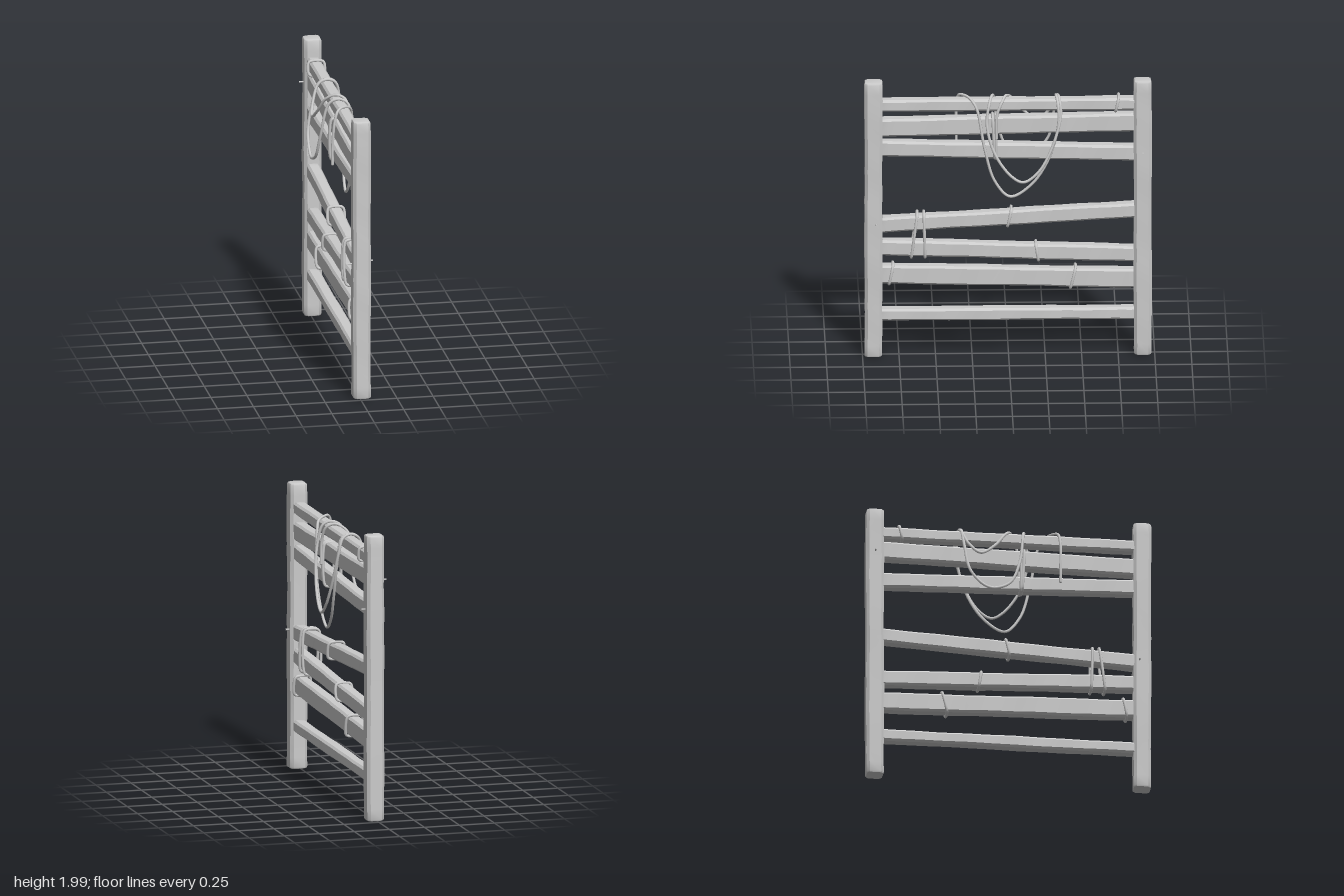
import * as THREE from 'three';
import { toCreasedNormals } from 'three/addons/utils/BufferGeometryUtils.js';

const grey = new THREE.MeshStandardMaterial({ color: 0xcccccc });
const CX = 0.011; // centre line of the fence in x

function add(group, name, geometry) {
  const mesh = new THREE.Mesh(geometry, grey);
  mesh.name = name;
  group.add(mesh);
  return mesh;
}

// Beam along z with chamfered edges, centred on the origin
function beam(w, h, length, chamfer, steps) {
  const b = 0.014, x = w / 2 - b, y = h / 2 - b, c = chamfer;
  const s = new THREE.Shape([
    [x - c, -y], [x, -y + c], [x, y - c], [x - c, y],
    [-x + c, y], [-x, y - c], [-x, -y + c], [-x + c, -y],
  ].map(([px, py]) => new THREE.Vector2(px, py)));
  return new THREE.ExtrudeGeometry(s, {
    depth: length - 2 * b, steps, bevelEnabled: true,
    bevelThickness: b, bevelSize: b, bevelSegments: 2,
  }).translate(0, 0, -length / 2 + b);
}

// Hand-hewn unevenness along the beam, plus a slope from one end to the other
function hew(g, seed, amount, heightAt) {
  const p = g.attributes.position;
  for (let i = 0; i < p.count; i++) {
    const x = p.getX(i), y = p.getY(i), z = p.getZ(i);
    const sx = Math.sign(x), sy = Math.sign(y);
    const wx = Math.sin(z * 7 + seed * 2.1 + sx) + 0.6 * Math.sin(z * 17 + seed + sy);
    const wy = Math.sin(z * 6 + seed * 1.3 + sy * 2) + 0.6 * Math.sin(z * 19 + seed * 3 + sx);
    p.setXYZ(i, x + wx * amount, y + wy * amount + heightAt(z), z);
  }
  return toCreasedNormals(g, 0.6);
}

function rope(points, radius, closed, segments) {
  const curve = new THREE.CatmullRomCurve3(points.map(p => new THREE.Vector3(...p)), closed);
  return new THREE.TubeGeometry(curve, segments, radius, 7, closed);
}

// Closed rope loop around the rails, leaning from (zTop, yTop) to (zBottom, yBottom)
function tie(zTop, yTop, zBottom, yBottom) {
  const zAt = y => THREE.MathUtils.mapLinear(y, yBottom, yTop, zBottom, zTop);
  const a = 0.055, c = 0.014, t = yTop - 0.01, b = yBottom + 0.01;
  const ring = [
    [a - c, t], [a, t - c], [a, b + c], [a - c, b],
    [-a + c, b], [-a, b + c], [-a, t - c], [-a + c, t],
  ];
  return rope(ring.map(([x, y]) => [CX + x, y, zAt(y)]), 0.01, true, 64);
}

export function createModel() {
  const fence = new THREE.Group();
  fence.name = 'ropedFence';

  // Upright posts
  [[0.925, 1], [-0.918, 2]].forEach(([z, seed]) => {
    const g = hew(beam(0.122, 0.122, 1.995, 0.012, 28), seed, 0.0018, () => 0);
    const post = add(fence, z > 0 ? 'frontPost' : 'backPost', g);
    post.rotation.x = -Math.PI / 2;
    post.position.set(CX + 0.001, 1.0, z);
  });

  // Rails: top and bottom height at the front end, then at the back end
  const rails = [
    [1.870, 1.785, 1.870, 1.785],
    [1.730, 1.603, 1.760, 1.630],
    [1.570, 1.460, 1.525, 1.415],
    [1.010, 0.905, 1.105, 1.000],
    [0.850, 0.738, 0.787, 0.680],
    [0.665, 0.532, 0.622, 0.490],
    [0.347, 0.260, 0.345, 0.262],
  ];
  rails.forEach(([t0, b0, t1, b1], i) => {
    const front = (t0 + b0) / 2, back = (t1 + b1) / 2;
    const g = beam(0.086, (t0 - b0 + t1 - b1) / 2, 1.78, 0.006, 30);
    hewAndAdd(g, i, z => THREE.MathUtils.mapLinear(z, 0.865, -0.855, front, back));
  });
  function hewAndAdd(g, i, heightAt) {
    add(fence, 'rail' + (i + 1), hew(g, i + 3, 0.0013, heightAt)).position.x = CX;
  }

  // Rope ties around single rails and pairs of rails
  [
    [-0.755, 1.888, -0.73, 1.772],
    [0.11, 1.755, 0.095, 1.435],
    [0.09, 1.75, 0.085, 1.43],
    [-0.02, 1.075, 0.01, 0.938],
    [0.625, 1.045, 0.668, 0.715],
    [0.58, 1.045, 0.572, 0.715],
    [-0.185, 0.822, -0.205, 0.688],
    [-0.46, 0.65, -0.42, 0.485],
    [0.79, 0.675, 0.82, 0.522],
  ].forEach((t, i) => add(fence, 'ropeTie' + (i + 1), tie(...t)));

  // Long rope draped over the top rail in several loops
  const drape = [
    [-0.08, 1.50, 0.355], [-0.08, 1.62, 0.355], [-0.065, 1.80, 0.355], [-0.04, 1.875, 0.34],
    [0.01, 1.885, 0.29], [0.06, 1.865, 0.25], [0.08, 1.80, 0.215],
    [0.10, 1.53, 0.165], [0.09, 1.29, 0.095], [0.08, 1.175, -0.01],
    [0.09, 1.26, -0.15], [0.105, 1.45, -0.27], [0.10, 1.71, -0.34], [0.07, 1.855, -0.335],
    [0.01, 1.885, -0.325], [-0.05, 1.86, -0.325],
    [-0.10, 1.72, -0.31], [-0.135, 1.53, -0.275], [-0.14, 1.42, -0.18], [-0.14, 1.40, -0.11],
    [-0.13, 1.45, 0.00], [-0.11, 1.62, 0.07], [-0.055, 1.855, 0.10],
    [0.01, 1.885, 0.115], [0.065, 1.86, 0.13],
    [0.10, 1.71, 0.15], [0.125, 1.50, 0.095], [0.14, 1.34, -0.02], [0.142, 1.30, -0.10],
    [0.14, 1.37, -0.20], [0.125, 1.53, -0.29], [0.095, 1.76, -0.355], [0.065, 1.86, -0.35],
    [0.01, 1.885, -0.34], [-0.05, 1.86, -0.33],
    [-0.10, 1.74, -0.28], [-0.12, 1.67, -0.20], [-0.10, 1.74, -0.10], [-0.055, 1.85, -0.02],
    [0.01, 1.885, 0.02], [0.065, 1.86, 0.045], [0.085, 1.77, 0.08], [0.09, 1.60, 0.085],
  ];
  add(fence, 'drapedRope', rope(drape, 0.01, false, 420));
  [drape[0], drape[drape.length - 1]].forEach(p =>
    add(fence, 'ropeEnd', new THREE.SphereGeometry(0.01, 8, 6)).position.set(...p));

  // Nails sticking out on both faces of the posts
  [[1, 0.975, 0.905], [-1, 0.96, 0.905], [1, 1.48, -0.917], [-1, 1.68, -0.917]].forEach(([s, y, z]) => {
    const shaft = add(fence, 'nail', new THREE.CylinderGeometry(0.006, 0.006, 0.05, 8));
    shaft.rotation.z = Math.PI / 2;
    shaft.position.set(CX + s * 0.064, y, z);
  });

  return fence;
}
